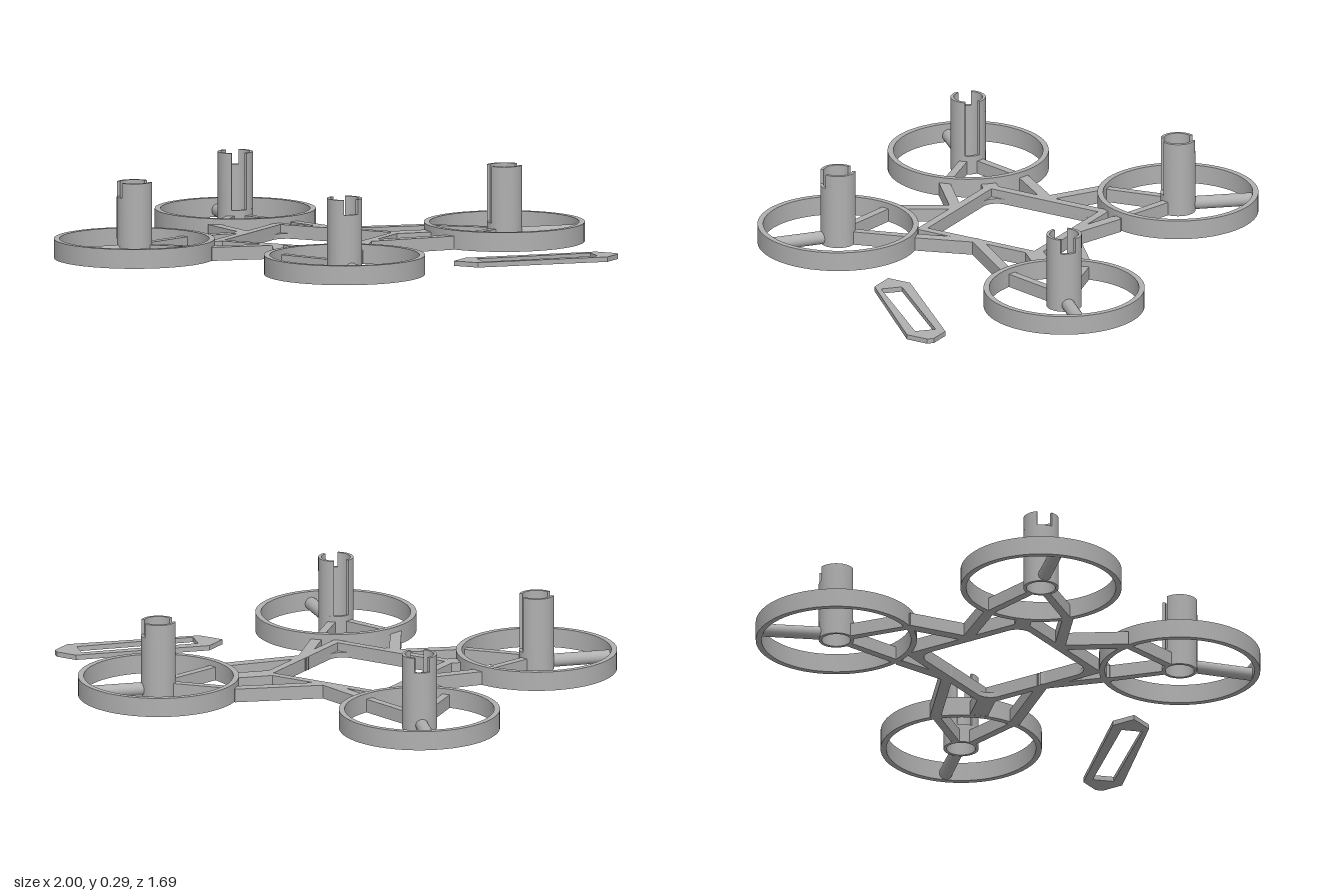
import * as THREE from 'three';
import { toCreasedNormals } from 'three/addons/utils/BufferGeometryUtils.js';

const DUCT_R = 0.307, DUCT_H = 0.074, HUB_R = 0.067, HUB_IN = 0.055, HUB_H = 0.292, ARM_H = 0.052;
const plastic = new THREE.MeshStandardMaterial({ color: 0xb0b0b0 });
plastic.name = 'grey plastic';

// Plan shapes use (x, -z) and are raised from y0 to y1
function raise(shape, y0, y1, name) {
  let geo = new THREE.ExtrudeGeometry(shape, { depth: y1 - y0, bevelEnabled: false, curveSegments: 32 });
  geo.rotateX(-Math.PI / 2).translate(0, y0, 0);
  geo = toCreasedNormals(geo, 0.5);
  const mesh = new THREE.Mesh(geo, plastic);
  mesh.name = name;
  return mesh;
}

const polygon = (points) => new THREE.Shape(points.map(([x, z]) => new THREE.Vector2(x, -z)));

function ringShape(outer, inner) {
  const s = new THREE.Shape().absarc(0, 0, outer, 0, Math.PI * 2, false);
  s.holes.push(new THREE.Path().absarc(0, 0, inner, 0, Math.PI * 2, true));
  return s;
}

function sectorShape(outer, inner, a0, a1) {
  const s = new THREE.Shape();
  s.absarc(0, 0, outer, a0, a1, false);
  s.absarc(0, 0, inner, a1, a0, true);
  s.closePath();
  return s;
}

// Flat bar between two plan points, slightly lengthened at both ends
function bar(a, b, width, name, extra = 0.008) {
  const dx = b[0] - a[0], dz = b[1] - a[1], len = Math.hypot(dx, dz);
  const mesh = new THREE.Mesh(new THREE.BoxGeometry(len + extra * 2, ARM_H, width), plastic);
  mesh.position.set((a[0] + b[0]) / 2, ARM_H / 2, (a[1] + b[1]) / 2);
  mesh.rotation.y = Math.atan2(-dz, dx);
  mesh.name = name;
  return mesh;
}

// Ring duct with a slotted motor tube and one outward rod
function makeDuct(x, z, dx, dz) {
  const duct = new THREE.Group();
  duct.name = 'duct';
  duct.position.set(x, 0, z);
  duct.rotation.y = Math.atan2(-dz, dx);
  duct.add(raise(ringShape(DUCT_R, DUCT_R - 0.022), 0, DUCT_H, 'ductRing'));

  const gap = 0.45, notchY = 0.235;
  duct.add(raise(ringShape(HUB_R, HUB_IN), 0, DUCT_H, 'tubeBase'));
  // Tall slot faces inward, short notch faces outward
  duct.add(raise(sectorShape(HUB_R, HUB_IN, -Math.PI + gap, Math.PI - gap), DUCT_H, notchY, 'tubeWall'));
  duct.add(raise(sectorShape(HUB_R, HUB_IN, gap, Math.PI - gap), notchY, HUB_H, 'tubeTopLeft'));
  duct.add(raise(sectorShape(HUB_R, HUB_IN, -Math.PI + gap, -gap), notchY, HUB_H, 'tubeTopRight'));

  const from = HUB_R - 0.007, to = DUCT_R - 0.012;
  const rod = new THREE.Mesh(new THREE.CylinderGeometry(0.025, 0.025, to - from, 20), plastic);
  rod.rotation.z = Math.PI / 2;
  rod.position.set((from + to) / 2, 0.026, 0);
  rod.name = 'outerRod';
  duct.add(rod);
  return duct;
}

export function createModel() {
  const model = new THREE.Group();
  model.name = 'quadcopterFrame';

  // Four ducts: centre, then outward direction
  const ducts = [
    [-0.69, -0.41, -0.19, -0.225],
    [0.39, -0.545, 0.21, -0.21],
    [-0.66, 0.5, -0.21, 0.215],
    [0.255, 0.535, 0.23, 0.19],
  ];
  for (const d of ducts) model.add(makeDuct(...d));

  // Spokes run from a hub to a bend at the ring, arms on to the frame
  const back = [-0.17, -0.245], front = [-0.17, 0.265], right = [-0.43, 0.015], left = [0.088, 0.02];
  const arms = [
    [0, [-0.385, -0.318], back],
    [0, [-0.635, -0.115], right],
    [1, [0.095, -0.47], back],
    [1, [0.31, -0.25], left],
    [2, [-0.365, 0.43], front],
    [2, [-0.58, 0.21], right],
    [3, [-0.04, 0.49], front],
    [3, [0.175, 0.27], left],
  ];
  for (const [i, bend, end] of arms) {
    const [x, z] = ducts[i];
    const len = Math.hypot(bend[0] - x, bend[1] - z);
    const k = (HUB_R + 0.003) / len;
    model.add(bar([x + (bend[0] - x) * k, z + (bend[1] - z) * k], bend, 0.031, 'spoke'));
    model.add(bar(bend, end, 0.042, 'arm', 0.004));
  }

  // Stubs from frame corners to the nearer ducts
  model.add(bar([0.075, -0.225], [0.175, -0.325], 0.07, 'cornerStub', 0));
  model.add(bar([-0.41, 0.25], [-0.455, 0.292], 0.06, 'cornerStub', 0));

  // Square frame with a rounded lip at the bottom of its opening
  const x0 = -0.44, x1 = 0.104, z0 = -0.257, z1 = 0.278;
  const i0 = -0.404, i1 = 0.072, k0 = -0.225, k1 = 0.246;
  const outline = () => polygon([[x0, z1], [x1, z1], [x1, z0], [x0, z0]]);
  const upper = outline();
  upper.holes.push(polygon([[i0, k0], [i1, k0], [i1, k1], [i0, k1]]));
  model.add(raise(upper, 0.02, ARM_H, 'frameWall'));
  const lower = outline(), r = 0.06;
  const hole = new THREE.Path();
  hole.absarc(i1 - r, -k0 - r, r, 0, Math.PI / 2, false);
  hole.absarc(i0 + r, -k0 - r, r, Math.PI / 2, Math.PI, false);
  hole.absarc(i0 + r, -k1 + r, r, Math.PI, Math.PI * 1.5, false);
  hole.absarc(i1 - r, -k1 + r, r, Math.PI * 1.5, Math.PI * 2, false);
  hole.closePath();
  lower.holes.push(hole);
  model.add(raise(lower, 0, 0.02, 'frameLip'));

  // Loose slotted strap beside the frame
  const strap = polygon([[0.527, 0.152], [0.63, 0.152], [1.0, -0.21], [1.0, -0.3], [0.98, -0.318],
    [0.895, -0.318], [0.527, 0.055]]);
  strap.holes.push(polygon([[0.58, 0.06], [0.638, 0.118], [0.952, -0.218], [0.895, -0.275]]));
  model.add(raise(strap, 0, 0.019, 'strap'));

  return model;
}
